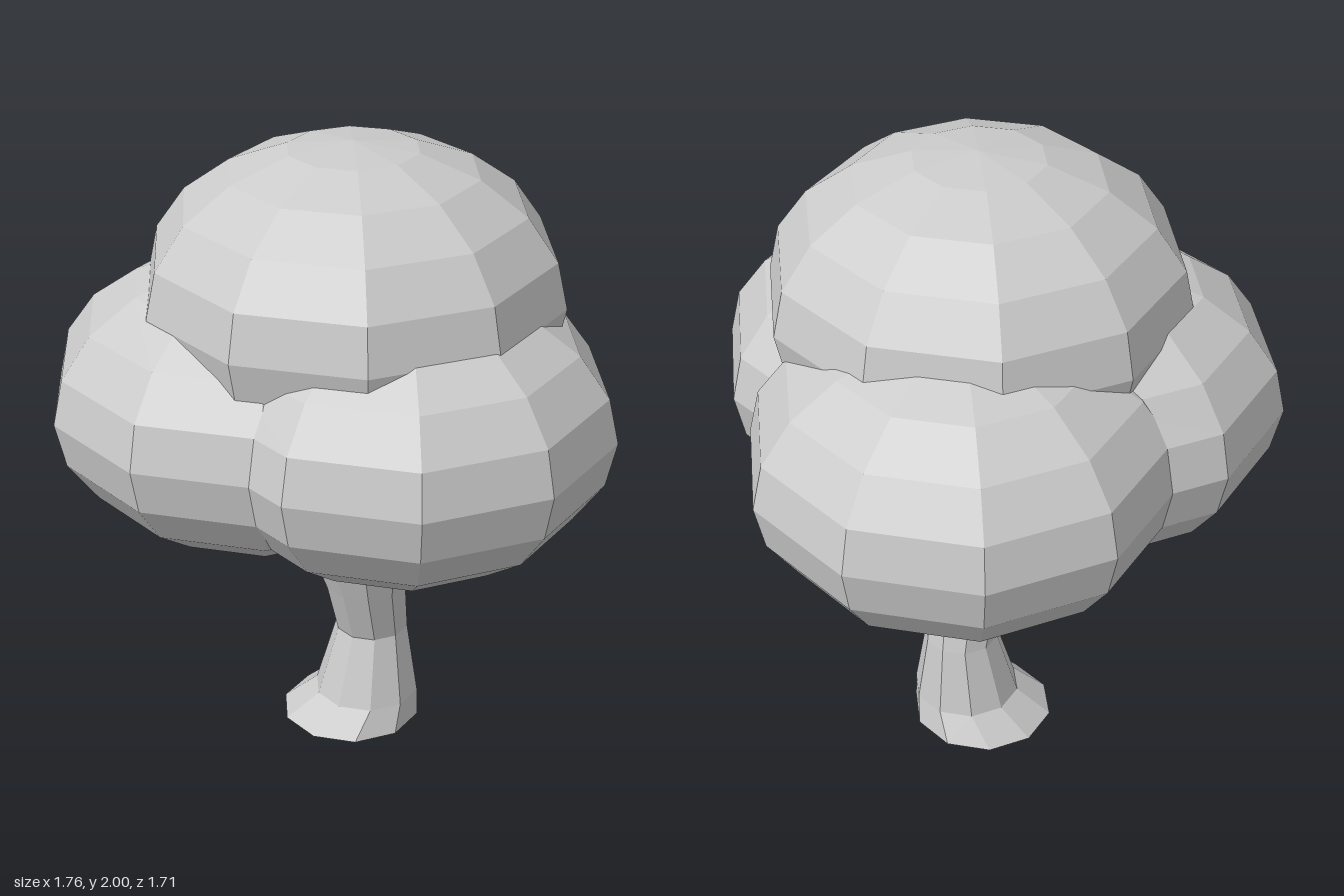
import * as THREE from 'three';

const SIDES = 10;

function createMaterial() {
  return new THREE.MeshStandardMaterial({ color: 0xcccccc, flatShading: true });
}

// Flattened ten-sided ball of leaves
function leafBlob(name, [x, y, z], radius, halfHeight, material) {
  const mesh = new THREE.Mesh(new THREE.SphereGeometry(1, SIDES, 10), material);
  mesh.name = name;
  mesh.scale.set(radius, halfHeight, radius);
  mesh.position.set(x, y, z);
  return mesh;
}

// Bent trunk: a cylinder whose rings are moved to the given centres and radii
function createTrunk(material) {
  // y, centre x, centre z, radius
  const rings = [
    [0, -0.09, -0.03, 0.226],
    [0.09, -0.05, -0.065, 0.17],
    [0.32, -0.048, -0.085, 0.118],
    [0.5, -0.027, -0.04, 0.131],
    [0.66, -0.03, -0.02, 0.17],
    [0.76, -0.03, -0.02, 0.205],
    [0.95, -0.03, -0.02, 0.23],
  ];
  const last = rings.length - 1;
  const geometry = new THREE.CylinderGeometry(1, 1, last, SIDES, last);
  geometry.rotateY(Math.PI / 2);
  const p = geometry.attributes.position;
  for (let i = 0; i < p.count; i++) {
    const [y, cx, cz, r] = rings[Math.round(p.getY(i) + last / 2)];
    p.setXYZ(i, cx + r * p.getX(i), y, cz + r * p.getZ(i));
  }
  geometry.computeVertexNormals();
  const mesh = new THREE.Mesh(geometry, material);
  mesh.name = 'trunk';
  return mesh;
}

export function createModel() {
  const group = new THREE.Group();
  group.name = 'tree';
  const material = createMaterial();

  group.add(createTrunk(material));

  // Three lower leaf masses around the trunk, one on top
  const foliage = new THREE.Group();
  foliage.name = 'foliage';
  foliage.add(
    leafBlob('frontFoliage', [-0.19, 1.2, 0.245], 0.64, 0.45, material),
    leafBlob('leftFoliage', [0.24, 1.2, 0.04], 0.64, 0.45, material),
    leafBlob('backFoliage', [-0.24, 1.2, -0.25], 0.64, 0.45, material),
    leafBlob('topFoliage', [0, 1.54, 0.03], 0.64, 0.46, material),
  );
  group.add(foliage);
  return group;
}
